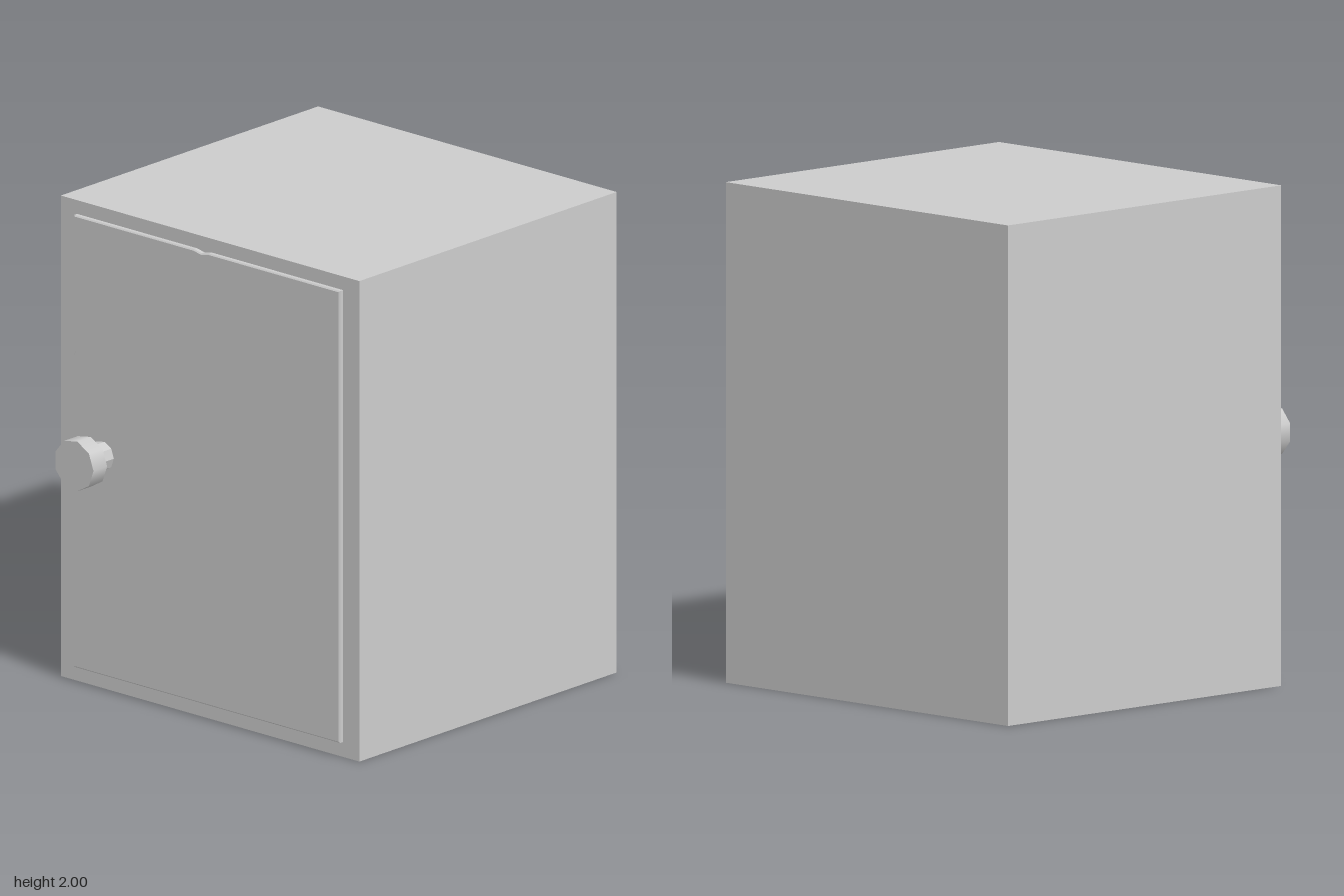
import * as THREE from 'three';

export function createModel() {
  const group = new THREE.Group();
  const smooth = new THREE.MeshStandardMaterial({ color: 0xcccccc });
  const flat = new THREE.MeshStandardMaterial({ color: 0xcccccc, flatShading: true });

  const add = (name, geometry, material, x, y, z) => {
    const mesh = new THREE.Mesh(geometry, material);
    mesh.name = name;
    mesh.position.set(x, y, z);
    group.add(mesh);
  };

  // Cabinet body
  const back = -0.85, front = 0.66;
  add('cabinetBody', new THREE.BoxGeometry(1.594, 2, front - back), flat, 0, 1, (front + back) / 2);

  // Door panel with a bevelled rim, and small chips in its top and right edges
  const bevel = 0.005, w = 0.71 - bevel, bottom = 0.062 + bevel, top = 1.943 - bevel;
  const outline = new THREE.Shape([
    [-w, bottom], [w, bottom], [w, top],
    [0.01, top], [-0.03, top - 0.008], [-0.07, top],
    [-w, top], [-w, 1.4], [-w + 0.006, 1.38], [-w, 1.36],
  ].map(([x, y]) => new THREE.Vector2(x, y)));
  const door = new THREE.ExtrudeGeometry(outline, {
    depth: 0.016, bevelEnabled: true, bevelSize: bevel, bevelThickness: bevel, bevelSegments: 1,
  });
  add('door', door, flat, 0, 0, front);

  // Nine-sided knob on a thinner stem
  const peg = (radius, length) =>
    new THREE.CylinderGeometry(radius, radius, length, 9, 1, false, Math.PI / 2).rotateX(Math.PI / 2);
  const knobX = -0.555, knobY = 0.977;
  add('knobStem', peg(0.06, 0.11), flat, knobX, knobY, 0.725);
  add('knob', peg(0.105, 0.08), smooth, knobX, knobY, 0.81);

  return group;
}
